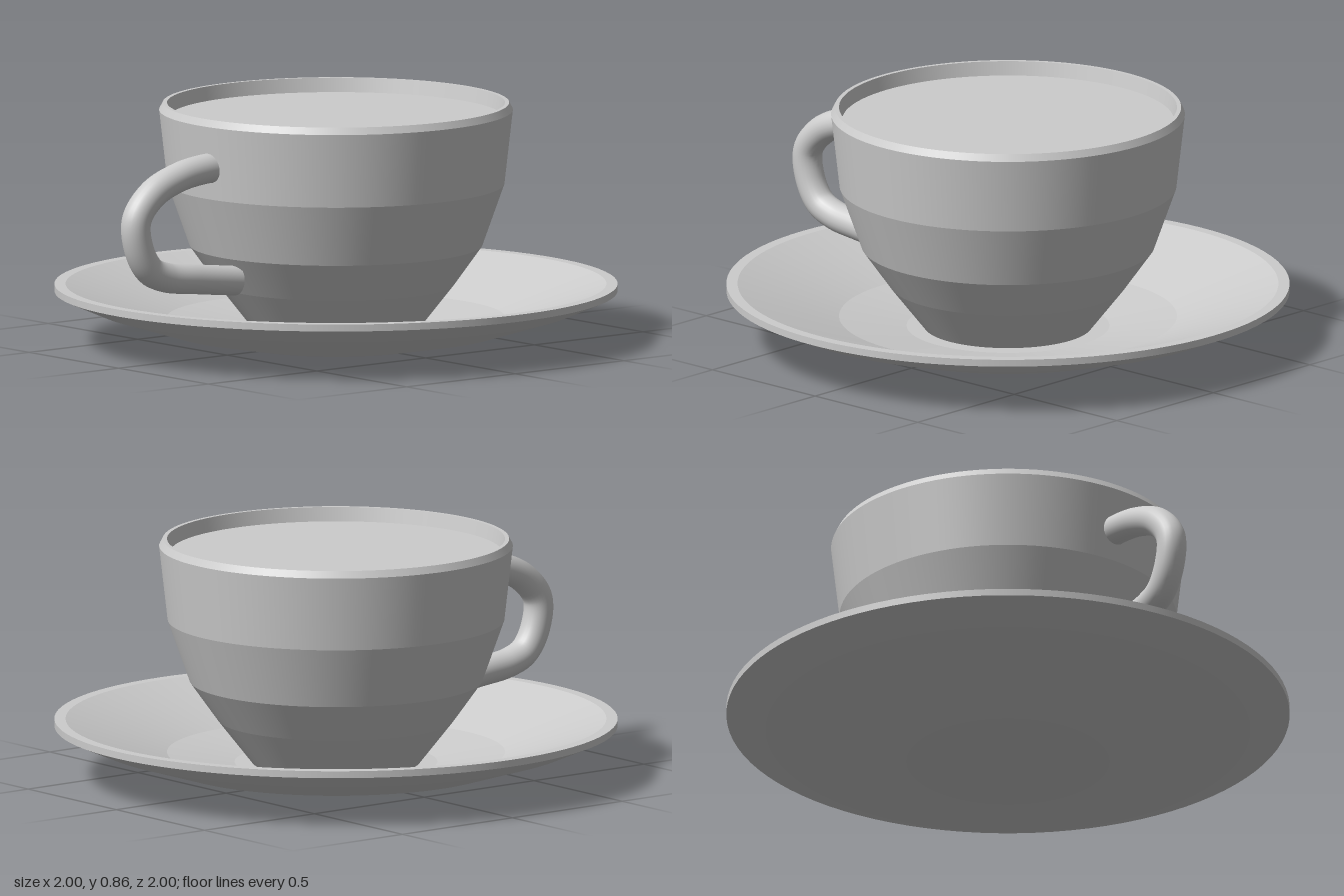
import * as THREE from 'three';
import { mergeGeometries } from 'three/addons/utils/BufferGeometryUtils.js';

const SEGMENTS = 96;

// Lathe that is smooth around the axis but creased between profile bands
function bandedLathe(profile) {
  const bands = [];
  for (let i = 0; i < profile.length - 1; i++) {
    const pair = [profile[i], profile[i + 1]].map(([r, y]) => new THREE.Vector2(r, y));
    bands.push(new THREE.LatheGeometry(pair, SEGMENTS));
  }
  return mergeGeometries(bands);
}

export function createModel() {
  const group = new THREE.Group();
  const porcelain = new THREE.MeshStandardMaterial({ name: 'porcelainGrey', color: 0xcccccc });

  const add = (name, geometry, parent = group) => {
    const mesh = new THREE.Mesh(geometry, porcelain);
    mesh.name = name;
    parent.add(mesh);
    return mesh;
  };

  // Saucer: underside, thin edge, flat lip, dished top
  add('saucer', bandedLathe([
    [0, 0], [0.36, 0], [0.6, 0.045], [0.86, 0.125], [1, 0.185], [1, 0.21],
    [0.96, 0.21], [0.6, 0.09], [0.36, 0.055], [0, 0.055],
  ]));

  // Cup: faceted bowl, bevelled rim, inner wall
  add('cup', bandedLathe([
    [0, 0.045], [0.29, 0.045], [0.42, 0.21], [0.52, 0.35], [0.598, 0.57], [0.628, 0.835],
    [0.615, 0.86], [0.6, 0.86], [0.588, 0.8],
  ]));

  // Drink surface just below the rim
  const drink = add('drink', new THREE.CircleGeometry(0.59, SEGMENTS));
  drink.rotation.x = -Math.PI / 2;
  drink.position.y = 0.81;

  // Handle: round tube in the y-z plane, closed at both ends
  const handle = new THREE.Group();
  handle.name = 'handle';
  handle.position.x = 0.032;
  group.add(handle);

  const radius = 0.053;
  const path = new THREE.CatmullRomCurve3([
    [0.685, 0.57], [0.683, 0.64], [0.665, 0.75], [0.615, 0.87], [0.53, 0.943],
    [0.43, 0.935], [0.345, 0.885], [0.311, 0.81], [0.293, 0.68], [0.27, 0.49],
  ].map(([y, z]) => new THREE.Vector3(0, y, z)));
  add('handleTube', new THREE.TubeGeometry(path, 64, radius, 24), handle);

  for (const [t, sign] of [[0, -1], [1, 1]]) {
    const cap = add('handleEnd', new THREE.CircleGeometry(radius, 24), handle);
    cap.position.copy(path.getPoint(t));
    cap.quaternion.setFromUnitVectors(
      new THREE.Vector3(0, 0, 1), path.getTangent(t).multiplyScalar(sign));
  }

  return group;
}
